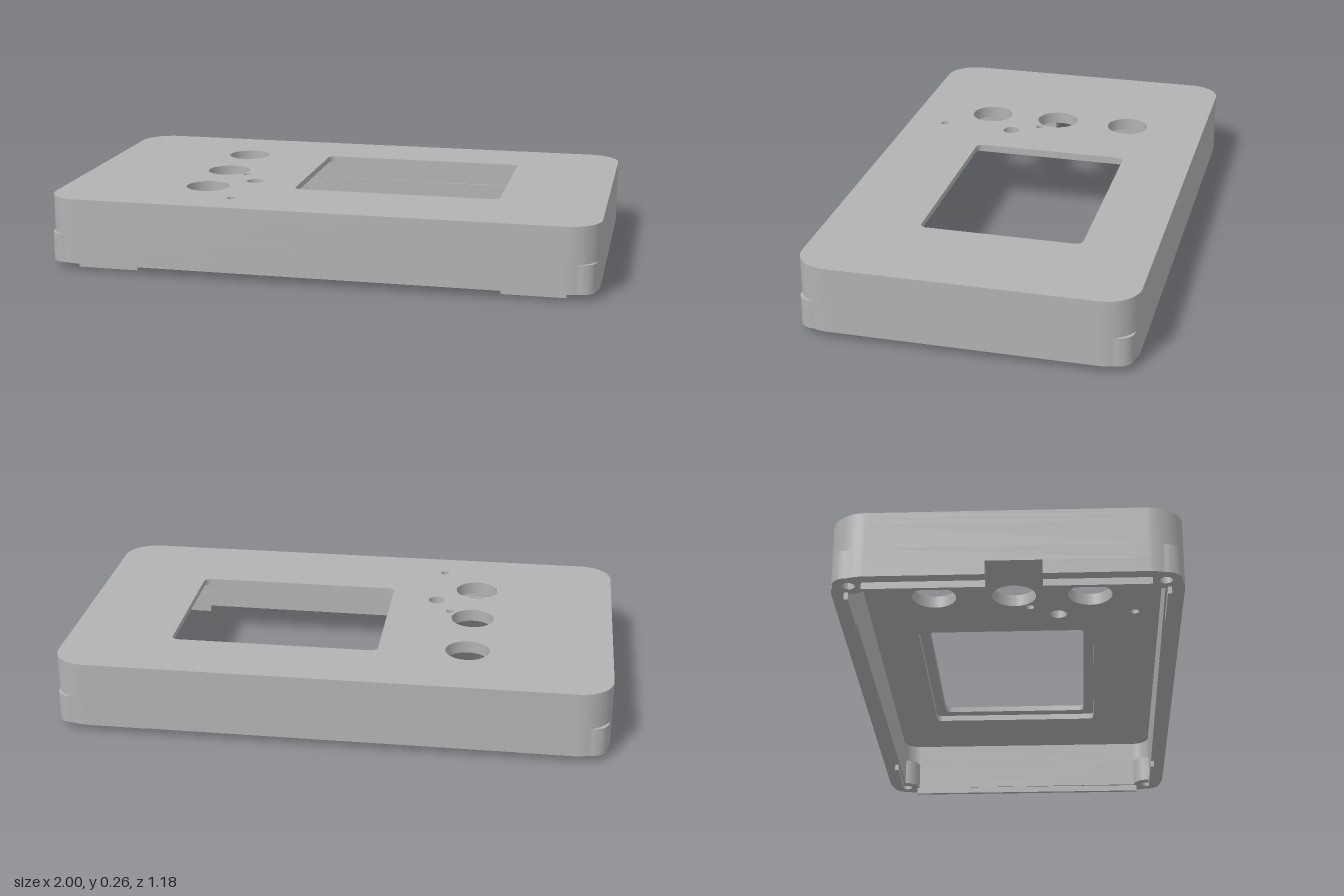
import * as THREE from 'three';
import { toCreasedNormals } from 'three/addons/utils/BufferGeometryUtils.js';

// Plan coordinates are (x, v) with v = -z
const CX = 0.88, CV = 0.47;            // centres of the rounded corners
const OUTER = 0.12, INNER = 0.065;     // outer and inner corner radii
const BOSS_OFFSET = 0.055, BOSS_R = 0.055;
const CORNERS = [[-1, -1], [1, -1], [1, 1], [-1, 1]];

// Rounded outline starting on the -x side; with a boss, the corner swells around it
function outline(radius, boss = 0) {
  const pts = [];
  CORNERS.forEach(([sx, sv], i) => {
    for (let k = 0; k <= 32; k++) {
      const a = Math.PI + (i + k / 32) * Math.PI / 2;
      const c = Math.cos(a), s = Math.sin(a);
      let r = radius;
      if (boss) {
        const b = BOSS_OFFSET * (sx * c + sv * s);
        const disc = BOSS_R ** 2 - (2 * BOSS_OFFSET ** 2 - b * b);
        if (disc > 0) {
          const hit = b + boss * Math.sqrt(disc);
          r = boss > 0 ? Math.max(r, hit) : Math.min(r, hit);
        }
      }
      pts.push(new THREE.Vector2(sx * CX + r * c, sv * CV + r * s));
    }
  });
  return pts;
}

function circle(x, z, r) {
  return new THREE.Path().absarc(x, -z, r, 0, Math.PI * 2, false);
}

function roundedRect(x0, x1, z0, z1, r) {
  const p = new THREE.Path(), v0 = -z1, v1 = -z0;
  p.absarc(x1 - r, v1 - r, r, 0, Math.PI / 2, false);
  p.absarc(x0 + r, v1 - r, r, Math.PI / 2, Math.PI, false);
  p.absarc(x0 + r, v0 + r, r, Math.PI, Math.PI * 1.5, false);
  p.absarc(x1 - r, v0 + r, r, Math.PI * 1.5, Math.PI * 2, false);
  p.closePath();
  return p;
}

export function createModel() {
  const group = new THREE.Group();
  const grey = new THREE.MeshStandardMaterial({ color: 0xb2b2b2 });
  grey.name = 'plastic grey';

  function slab(name, points, holes, y0, y1) {
    const shape = new THREE.Shape(points);
    shape.holes.push(...holes);
    const geo = new THREE.ExtrudeGeometry(shape, { depth: y1 - y0, bevelEnabled: false, curveSegments: 20 });
    geo.rotateX(-Math.PI / 2);
    geo.translate(0, y0, 0);
    const mesh = new THREE.Mesh(toCreasedNormals(geo, 0.5), grey);
    mesh.name = name;
    group.add(mesh);
  }

  // Top plate with knob holes, pin holes and the screen window
  const drilled = () => [
    circle(-0.475, -0.285, 0.08), circle(-0.475, 0.005, 0.08), circle(-0.475, 0.28, 0.08),
    circle(-0.385, 0.06, 0.015), circle(-0.325, 0.163, 0.031), circle(-0.335, 0.445, 0.016),
  ];
  slab('topPlate', outline(OUTER), [...drilled(), roundedRect(-0.15, 0.615, -0.33, 0.255, 0.025)], 0.243, 0.265);
  // Underside layer with the wider screen pocket
  slab('screenPocketPlate', outline(OUTER), [...drilled(), roundedRect(-0.19, 0.655, -0.37, 0.295, 0.02)], 0.22, 0.243);

  // Upper wall
  slab('upperWall', outline(OUTER), [new THREE.Path(outline(INNER))], 0.13, 0.22);

  // Lower wall, swelling around the screw bosses
  const screws = () => CORNERS.map(([sx, sv]) =>
    circle(sx * (CX + BOSS_OFFSET), -sv * (CV + BOSS_OFFSET), 0.022));
  slab('lowerWall', outline(OUTER, 1), [new THREE.Path(outline(INNER, -1)), ...screws()], 0.075, 0.13);

  // Bottom band, open at the port notch in the -x wall
  const notch = [-0.07, 0.12];
  const inX = CX + INNER, v0 = -notch[1], v1 = -notch[0];
  const band = [
    new THREE.Vector2(-1, v0), ...outline(OUTER, 1), new THREE.Vector2(-1, v1),
    new THREE.Vector2(-inX, v1), ...outline(INNER, -1).reverse(), new THREE.Vector2(-inX, v0),
  ];
  slab('bottomBand', band, screws(), 0.025, 0.075);

  // Locating lips below the rim
  function lip(name, x0, x1, z0, z1) {
    const mesh = new THREE.Mesh(new THREE.BoxGeometry(x1 - x0, 0.035, z1 - z0), grey);
    mesh.name = name;
    mesh.position.set((x0 + x1) / 2, 0.0175, (z0 + z1) / 2);
    group.add(mesh);
  }
  for (const s of [-1, 1]) {
    const z = s * 0.539;
    lip('longSideLip', -0.89, -0.668, z - 0.007, z + 0.007);
    lip('longSideLip', 0.662, 0.89, z - 0.007, z + 0.007);
  }
  lip('leftLip', 0.944, 0.959, -0.48, 0.48);
  lip('rightLip', -0.959, -0.944, -0.48, notch[0]);
  lip('rightLip', -0.959, -0.944, notch[1], 0.48);

  return group;
}
